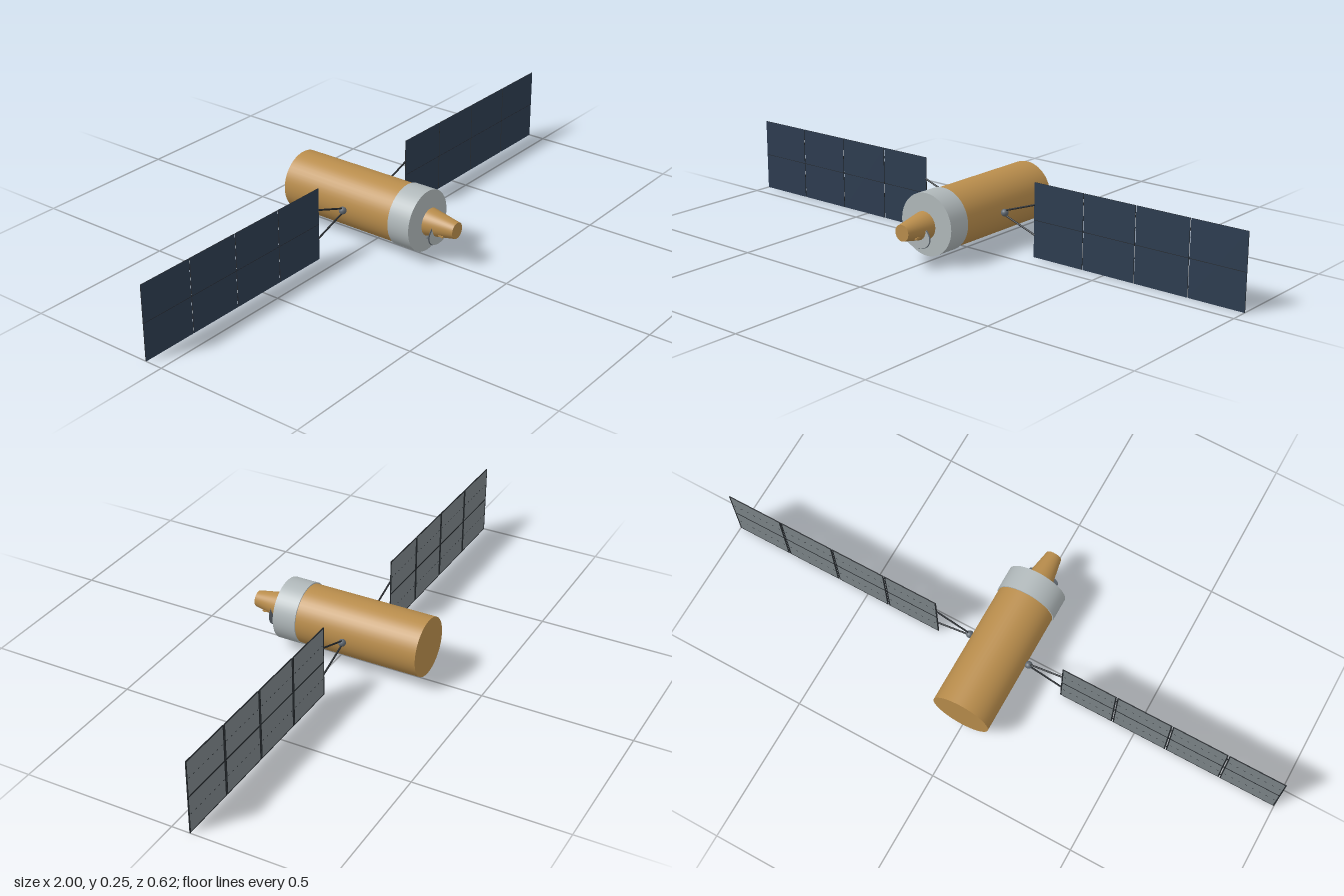
import * as THREE from 'three';

const mat = (name, color, side = THREE.FrontSide) => {
  const m = new THREE.MeshStandardMaterial({ color, side });
  m.name = name;
  return m;
};

export function createModel() {
  const gold = mat('gold foil', 0xb98d4c);
  const silver = mat('silver', 0xb0b8ba);
  const steel = mat('steel', 0x626a72);
  const navy = mat('solar cell navy', 0x2d3c50);
  const backGrey = mat('panel back grey', 0x7c8589);
  const dark = mat('dark frame', 0x24282c);

  const root = new THREE.Group();
  root.name = 'satellite';
  const CY = 0.124, PZ = -0.06;

  const add = (parent, name, geo, material, x = 0, y = 0, z = 0) => {
    const m = new THREE.Mesh(geo, material);
    m.name = name;
    m.position.set(x, y, z);
    parent.add(m);
    return m;
  };
  // Cylinder along z, with separate front and back radii
  const barrel = (name, rFront, rBack, z0, z1, material) =>
    add(root, name, new THREE.CylinderGeometry(rFront, rBack, z1 - z0, 48).rotateX(Math.PI / 2),
      material, 0, CY, (z0 + z1) / 2);
  // Straight rod between two points
  const rod = (parent, name, a, b, r, material) => {
    const p = new THREE.Vector3(...a), q = new THREE.Vector3(...b);
    const d = q.clone().sub(p);
    const m = add(parent, name, new THREE.CylinderGeometry(r, r, d.length(), 10), material);
    m.position.copy(p).add(q).multiplyScalar(0.5);
    m.quaternion.setFromUnitVectors(new THREE.Vector3(0, 1, 0), d.normalize());
    return m;
  };

  // Body
  barrel('body', 0.099, 0.099, -0.311, 0.117, gold);
  barrel('frontCollar', 0.103, 0.103, 0.116, 0.197, silver);
  barrel('noseCone', 0.027, 0.046, 0.207, 0.311, gold);

  // Nose supports and small dish
  rod(root, 'noseStrut', [0, 0.093, 0.192], [0, 0.101, 0.22], 0.004, steel);
  rod(root, 'dishArm', [0, 0.062, 0.194], [0, 0.1, 0.27], 0.0035, steel);
  const dish = add(root, 'dish', new THREE.SphereGeometry(1, 40, 16), silver, 0, 0.097, 0.24);
  dish.material = steel;
  dish.scale.set(0.055, 0.042, 0.0035);
  dish.rotation.x = 0.06;
  const dishFace = add(root, 'dishFace', new THREE.CircleGeometry(1, 40), silver, 0, 0.097, 0.2438);
  dishFace.scale.set(0.053, 0.04, 1);
  dishFace.rotation.x = 0.06;
  const feed = add(root, 'feedBlock', new THREE.BoxGeometry(0.062, 0.006, 0.018), gold, 0, 0.103, 0.269);
  feed.rotation.x = 0.12;

  // Solar wings: four panels each, on a V-shaped yoke
  const X0 = 0.228, W = 0.193, H = 0.248, T = 0.002, GAP = 0.0035;
  for (const s of [1, -1]) {
    const wing = new THREE.Group();
    wing.name = s > 0 ? 'leftWing' : 'rightWing';
    root.add(wing);

    add(wing, 'hub', new THREE.SphereGeometry(0.0125, 20, 14), steel, s * 0.108, CY, PZ);
    rod(wing, 'hubShaft', [s * 0.09, CY, PZ], [s * 0.112, CY, PZ], 0.007, steel);
    for (const t of [1, -1])
      rod(wing, 'yokeRod', [s * 0.11, CY + t * 0.008, PZ], [s * (X0 + 0.002), CY + t * 0.05, PZ], 0.003, dark);

    for (let i = 0; i < 4; i++) {
      const cx = s * (X0 + W * (i + 0.5)), w = W - (i < 3 ? GAP : 0);
      const px = cx - s * (i < 3 ? GAP / 2 : 0);
      // box face order: +x, -x, +y, -y, +z, -z
      add(wing, 'panel', new THREE.BoxGeometry(w, H, T), [dark, dark, dark, dark, navy, backGrey], px, CY, PZ);
      const bz = PZ - T / 2 - 0.0004;
      // Dark frame lines on the back
      for (const e of [-1, 1])
        add(wing, 'backRib', new THREE.BoxGeometry(0.004, H, 0.0008), dark, px + e * (w / 2 - 0.002), CY, bz);
      add(wing, 'backSpar', new THREE.BoxGeometry(w, 0.005, 0.0008), dark, px, CY, bz);
      for (const e of [-1, 1])
        add(wing, 'backEdge', new THREE.BoxGeometry(w, 0.003, 0.0008), dark, px, CY + e * (H / 2 - 0.0015), bz);
      // Rows of small fasteners
      for (const e of [-1, 1])
        for (let k = 0; k < 8; k++)
          add(wing, 'fastener', new THREE.BoxGeometry(0.006, 0.002, 0.0008), dark,
            px + ((k + 0.5) / 8 - 0.5) * w, CY + e * 0.062, bz);
      // Fine centre seam on the cell side
      add(wing, 'frontSeam', new THREE.BoxGeometry(w, 0.0015, 0.0004), dark, px, CY, PZ + T / 2 + 0.0002);
      // Hinges bridging the gap to the next panel
      if (i < 3)
        for (const e of [-1, 0, 1])
          add(wing, 'hinge', new THREE.BoxGeometry(0.01, 0.008, 0.0012), dark,
            s * (X0 + W * (i + 1) - GAP / 2), CY + e * 0.09, bz);
    }
  }
  return root;
}
